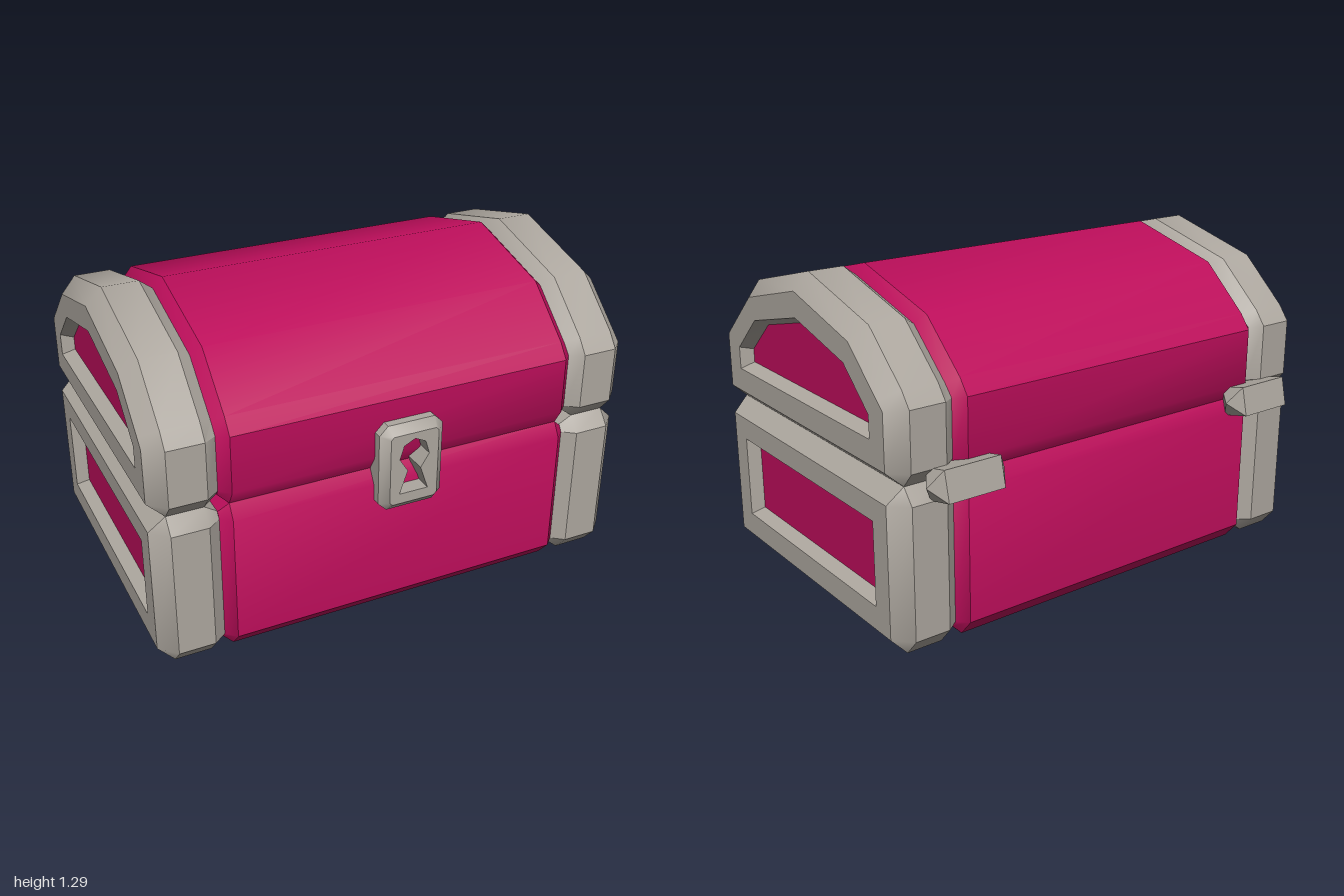
import * as THREE from 'three';
import { mergeGeometries, toCreasedNormals } from 'three/addons/utils/BufferGeometryUtils.js';

// Loops are [z, y] points running bottom-front, up, over the top and down the back.
const mirrorLoop = (half) =>
  half.concat(half.filter(([z]) => z !== 0).reverse().map(([z, y]) => [-z, y]));

const lerpLoop = (a, b, t) =>
  a.map(([z, y], i) => [z + (b[i][0] - z) * t, y + (b[i][1] - y) * t]);

// Skin between rings, each { x, loop }
function skin(rings) {
  const pos = [];
  for (let r = 0; r < rings.length - 1; r++) {
    const A = rings[r], B = rings[r + 1], n = A.loop.length;
    for (let i = 0; i < n; i++) {
      const j = (i + 1) % n;
      const p = (R, k) => new THREE.Vector3(R.x, R.loop[k][1], R.loop[k][0]);
      const a = p(A, i), b = p(B, i), c = p(B, j), d = p(A, j);
      for (const t of [[a, b, c], [a, c, d]]) {
        const area = t[1].clone().sub(t[0]).cross(t[2].clone().sub(t[0])).length();
        if (area > 1e-9) t.forEach((v) => pos.push(v.x, v.y, v.z));
      }
    }
  }
  const g = new THREE.BufferGeometry();
  g.setAttribute('position', new THREE.Float32BufferAttribute(pos, 3));
  return g;
}

// Flat face at x, facing +x (dir 1) or -x (dir -1), with optional holes
function face(loop, x, dir = 1, holes = []) {
  const pts = (l) => l
    .filter(([z, y], i) => i === 0 || z !== l[i - 1][0] || y !== l[i - 1][1])
    .map(([z, y]) => new THREE.Vector2(-dir * z, y));
  const shape = new THREE.Shape(pts(loop));
  holes.forEach((h) => shape.holes.push(new THREE.Path(pts(h))));
  const g = new THREE.ShapeGeometry(shape).toNonIndexed();
  g.deleteAttribute('uv');
  g.deleteAttribute('normal');
  return g.rotateY(dir * Math.PI / 2).translate(x, 0, 0);
}

const finish = (parts) => toCreasedNormals(mergeGeometries(parts), 0.58);

// Full profiles and the smaller profiles their bevels run to; g is the depth at the seam
const baseFull = (g) => mirrorLoop([[0.605, 0], [0.665, 0.07], [0.665, 0.59], [g, 0.65]]);
const baseEnd = mirrorLoop([[0.6, 0.07], [0.6, 0.07], [0.6, 0.59], [0.6, 0.59]]);
const lidFull = (g) => mirrorLoop([[g, 0.65], [0.665, 0.71], [0.665, 0.94], [0.62, 1.0],
  [0.42, 1.18], [0, 1.29]]);
const lidEnd = mirrorLoop([[0.6, 0.71], [0.6, 0.71], [0.6, 0.93], [0.568, 0.96],
  [0.383, 1.125], [0, 1.225]]);

// Window openings and the panels set inside them
const baseHole = mirrorLoop([[0.505, 0.165], [0.505, 0.5]]);
const basePanel = mirrorLoop([[0.48, 0.19], [0.48, 0.475]]);
const lidHole = mirrorLoop([[0.505, 0.805], [0.505, 0.895], [0.345, 1.04], [0, 1.125]]);
const lidPanel = mirrorLoop([[0.48, 0.83], [0.48, 0.885], [0.33, 1.018], [0, 1.1]]);

export function createModel() {
  const red = new THREE.MeshStandardMaterial({ color: 0xbd0e5b });
  red.name = 'crimson';
  const grey = new THREE.MeshStandardMaterial({ color: 0xada79f });
  grey.name = 'warm grey';

  const model = new THREE.Group();
  model.name = 'treasureChest';
  const chest = new THREE.Group();
  chest.name = 'chest';
  chest.position.z = 0.016;
  model.add(chest);

  const add = (parent, name, geometry, material) => {
    const m = new THREE.Mesh(geometry, material);
    m.name = name;
    parent.add(m);
    return m;
  };

  // Middle of the base and lid
  const middle = (full, end) => {
    const tip = lerpLoop(full, end, 0.6);
    return finish([
      skin([{ x: -0.74, loop: tip }, { x: -0.7, loop: full },
        { x: 0.7, loop: full }, { x: 0.74, loop: tip }]),
      face(tip, -0.74, -1), face(tip, 0.74, 1),
    ]);
  };
  add(chest, 'baseBody', middle(baseFull(0.63), baseEnd), red);
  add(chest, 'lidBody', middle(lidFull(0.63), lidEnd), red);

  // Bevelled end frame with a recessed window
  const frame = (full, end, hole, panel) => {
    const inner = lerpLoop(full, end, 0.6);
    return finish([
      skin([{ x: 0.74, loop: inner }, { x: 0.79, loop: full },
        { x: 0.935, loop: full }, { x: 1, loop: end }]),
      face(inner, 0.74, -1),
      face(end, 1, 1, [hole]),
      skin([{ x: 1, loop: hole }, { x: 0.95, loop: panel }]),
    ]);
  };

  // Hinge: square bar with pointed ends
  const hingeLoop = (r) => [32, 122, 212, 302].map((deg) => {
    const a = deg * Math.PI / 180;
    return [-0.69 + r * Math.cos(a), 0.657 + r * Math.sin(a)];
  });
  const hinge = finish([skin([
    { x: 0.563, loop: hingeLoop(0) }, { x: 0.61, loop: hingeLoop(0.084) },
    { x: 0.847, loop: hingeLoop(0.084) }, { x: 0.893, loop: hingeLoop(0) },
  ])]);

  for (const [side, turn] of [['left', 0], ['right', Math.PI]]) {
    const end = new THREE.Group();
    end.name = side + 'End';
    end.rotation.y = turn;
    chest.add(end);
    add(end, 'baseFrame', frame(baseFull(0.615), baseEnd, baseHole, basePanel), grey);
    add(end, 'lidFrame', frame(lidFull(0.615), lidEnd, lidHole, lidPanel), grey);
    add(end, 'basePanel', finish([face(basePanel, 0.95)]), red);
    add(end, 'lidPanel', finish([face(lidPanel, 0.95)]), red);
    const h = add(chest, side + 'Hinge', hinge, grey);
    if (turn) h.position.x = -1.456;
  }

  // Lock plate with a keyhole cut through, built facing +x and turned to the front
  const plate = (w, low, high, c) =>
    mirrorLoop([[w - c, low], [w, low + c], [w, high - c], [w - c, high]]);
  const outer = plate(0.133, 0.493, 0.855, 0.035);
  const front = plate(0.1, 0.528, 0.822, 0.012);
  const keyhole = mirrorLoop([[0.06, 0.57], [0.027, 0.665], [0.062, 0.72],
    [0.045, 0.775], [0, 0.797]]);
  const lock = add(model, 'lock', finish([
    skin([{ x: 0.65, loop: outer }, { x: 0.715, loop: outer }, { x: 0.747, loop: front }]),
    face(front, 0.747, 1, [keyhole]),
    skin([{ x: 0.747, loop: keyhole }, { x: 0.65, loop: keyhole }]),
  ]), grey);
  lock.rotation.y = -Math.PI / 2;

  return model;
}
